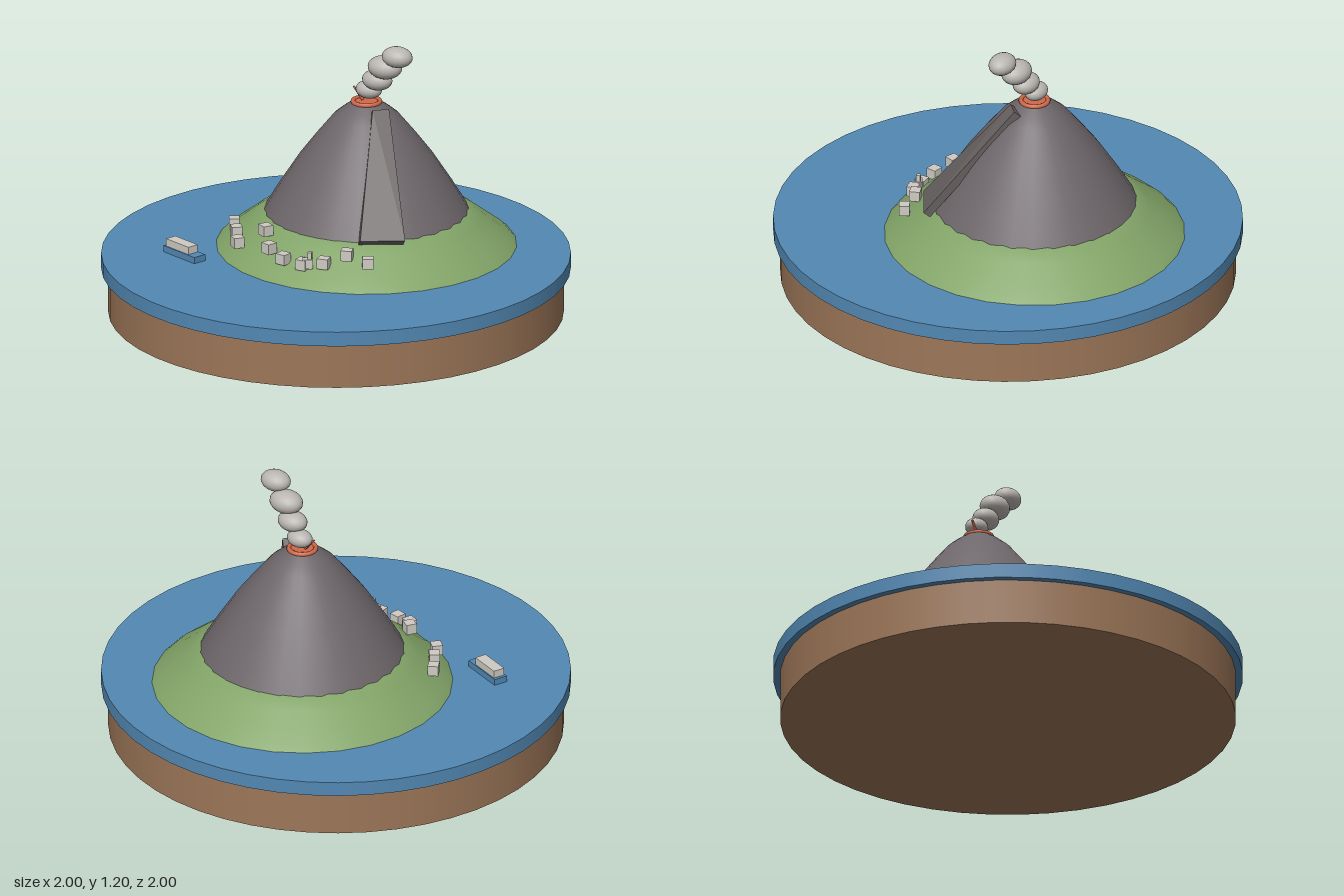
import * as THREE from 'three';

const mat = (name, color, side = THREE.FrontSide) => {
  const m = new THREE.MeshStandardMaterial({ color, side });
  m.name = name;
  return m;
};

export function createModel() {
  const root = new THREE.Group();
  root.name = 'volcanoIsland';
  const sea = mat('seaBlue', 0x5288b3);
  const earth = mat('earthBrown', 0x9c7658);
  const grass = mat('grassGreen', 0x82a468);
  const rock = mat('rockGrey', 0x6d666a);
  const flowRock = mat('cooledLava', 0x686262);
  const lava = mat('lavaOrange', 0xd0694a);
  const smoke = mat('smokeGrey', 0xbab6b2);
  const wall = mat('wallWhite', 0xcfcbc3);

  const add = (name, geo, material, x = 0, y = 0, z = 0, parent = root) => {
    const m = new THREE.Mesh(geo, material);
    m.name = name;
    m.position.set(x, y, z);
    parent.add(m);
    return m;
  };
  const lathe = (pts, seg) =>
    new THREE.LatheGeometry(pts.map(([r, y]) => new THREE.Vector2(r, y)), seg);

  // Round base and the sea disc on top
  add('base', new THREE.CylinderGeometry(0.97, 0.97, 0.2, 48), earth, 0, 0.1, 0);
  add('sea', new THREE.CylinderGeometry(1, 1, 0.064, 48), sea, 0, 0.23, 0);

  // Island and mountain share one off-centre axis
  const cx = 0.055, cz = -0.165;
  add('island', lathe([[0.648, 0.255], [0.615, 0.287], [0.555, 0.332], [0.49, 0.382], [0.43, 0.425], [0.3, 0.46]], 28),
    grass, cx, 0, cz);
  add('mountain', lathe([[0.455, 0.385], [0.435, 0.42], [0.37, 0.528], [0.286, 0.658], [0.215, 0.752],
    [0.142, 0.842], [0.1, 0.877], [0.06, 0.905]], 30), rock, cx, 0, cz);

  // Crater with glowing rim and a small spurt
  add('craterFloor', new THREE.CylinderGeometry(0.062, 0.062, 0.01, 20), lava, cx, 0.902, cz);
  const rim = add('craterRim', new THREE.TorusGeometry(0.058, 0.01, 8, 24), lava, cx, 0.906, cz);
  rim.rotation.x = Math.PI / 2;
  const spurt = add('lavaSpurt', new THREE.CylinderGeometry(0.004, 0.009, 0.07, 6), lava, 0.016, 0.938, cz);
  spurt.rotation.z = 0.75;

  // Cooled lava flow: a straight tapered slab down the slope
  const top = [[0.128, 0.9, -0.09], [0.18, 0.9, -0.14], [0.43, 0.442, 0.16], [0.267, 0.442, 0.26]];
  const under = top.map(([x, y, z]) => [x - 0.02, y - 0.025, z - 0.02]);
  const flow = new THREE.BufferGeometry();
  flow.setAttribute('position', new THREE.Float32BufferAttribute([...top, ...under].flat(), 3));
  const faces = [0, 2, 1, 0, 3, 2, 4, 5, 6, 4, 6, 7];
  for (let i = 0; i < 4; i++) {
    const j = (i + 1) % 4;
    faces.push(i, j, i + 4, j, j + 4, i + 4);
  }
  flow.setIndex(faces);
  const flowFlat = flow.toNonIndexed();
  flowFlat.computeVertexNormals();
  add('lavaFlow', flowFlat, flowRock);

  // Rising smoke puffs: x, y, z, radius
  [[0.06, 0.957, -0.176, 0.059], [0.112, 1.015, -0.158, 0.068],
    [0.16, 1.086, -0.139, 0.077], [0.235, 1.153, -0.114, 0.069]].forEach(([x, y, z, r]) => {
    add('smokePuff', new THREE.SphereGeometry(r, 20, 14), smoke, x, y, z).scale.set(1, 0.65, 0.8);
  });

  // Village houses turned to face away from the mountain
  const houses = [[-0.433, 0.358, 0.115], [-0.374, 0.358, 0.2], [-0.32, 0.345, 0.285], [-0.193, 0.415, 0.265],
    [-0.128, 0.372, 0.35], [-0.037, 0.352, 0.388], [0.06, 0.345, 0.393], [0.155, 0.362, 0.377],
    [0.235, 0.395, 0.318], [0.335, 0.374, 0.313]];
  for (const [x, y, z] of houses) {
    add('house', new THREE.BoxGeometry(0.048, 0.046, 0.046), wall, x, y, z)
      .rotation.y = Math.atan2(x - cx, z - cz);
  }
  add('chapel', new THREE.BoxGeometry(0.045, 0.04, 0.03), wall, 0.085, 0.352, 0.392).rotation.y = 0.5;
  add('chapelTower', new THREE.BoxGeometry(0.018, 0.075, 0.018), wall, 0.093, 0.365, 0.388).rotation.y = 0.3;

  // Ferry afloat beside the island
  const boat = new THREE.Group();
  boat.name = 'boat';
  boat.position.set(-0.54, 0.26, 0.356);
  boat.rotation.y = -0.345;
  root.add(boat);
  add('boatHull', new THREE.BoxGeometry(0.203, 0.034, 0.062), sea, 0, 0.013, 0, boat);
  add('boatCabin', new THREE.BoxGeometry(0.145, 0.034, 0.052), wall, -0.016, 0.046, 0, boat);

  return root;
}
